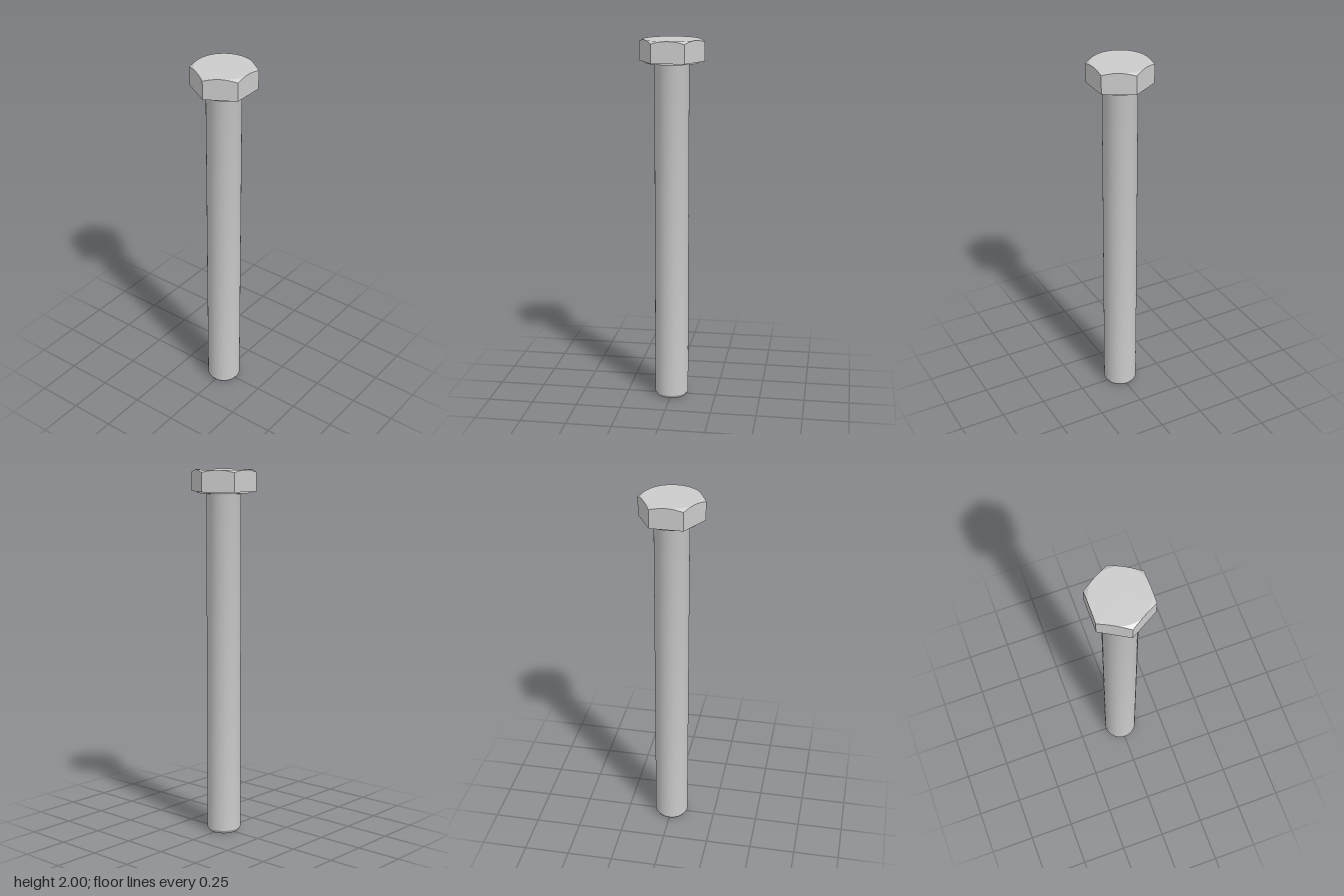
import * as THREE from 'three';
import { toCreasedNormals } from 'three/addons/utils/BufferGeometryUtils.js';

const APOTHEM = 0.1525;
const TOP = 2;
const HEAD_BOTTOM = 1.885;
const WASHER_BOTTOM = 1.877;

const profile = (pairs) => pairs.map(([r, y]) => new THREE.Vector2(r, y));

// Revolved hexagon: the outer rings are pushed out to the hex outline
// and the top outer ring drops along a 30 degree chamfer cone.
function hexHeadGeometry() {
  const geo = new THREE.LatheGeometry(profile([
    [0, HEAD_BOTTOM], [1, HEAD_BOTTOM], [1, TOP], [APOTHEM, TOP], [0, TOP],
  ]), 48);
  const pos = geo.attributes.position;
  const sector = Math.PI / 3;
  for (let i = 0; i < pos.count; i++) {
    const x = pos.getX(i), z = pos.getZ(i);
    if (Math.hypot(x, z) < 0.9) continue;
    const phi = Math.atan2(x, z);
    const r = APOTHEM / Math.cos(phi - Math.round(phi / sector) * sector);
    const drop = pos.getY(i) > 1.95 ? (r - APOTHEM) * Math.tan(Math.PI / 6) : 0;
    pos.setXYZ(i, r * Math.sin(phi), pos.getY(i) - drop, r * Math.cos(phi));
  }
  return toCreasedNormals(geo, 0.15);
}

export function createModel() {
  const group = new THREE.Group();
  const material = new THREE.MeshStandardMaterial({ color: 0xcccccc });
  const add = (name, geometry) => {
    const mesh = new THREE.Mesh(geometry, material);
    mesh.name = name;
    group.add(mesh);
  };

  add('hexHead', hexHeadGeometry());

  // Thin round bearing face under the head
  add('washerFace', toCreasedNormals(new THREE.LatheGeometry(profile([
    [0.09, WASHER_BOTTOM], [0.144, WASHER_BOTTOM], [0.144, HEAD_BOTTOM],
  ]), 48), 0.5));

  // Plain shank with a chamfered tip and a small fillet below the head
  add('shank', toCreasedNormals(new THREE.LatheGeometry(profile([
    [0, 0], [0.081, 0], [0.093, 0.018], [0.093, 1.867],
    [0.095, 1.873], [0.1, WASHER_BOTTOM],
  ]), 48), 0.5));

  return group;
}
